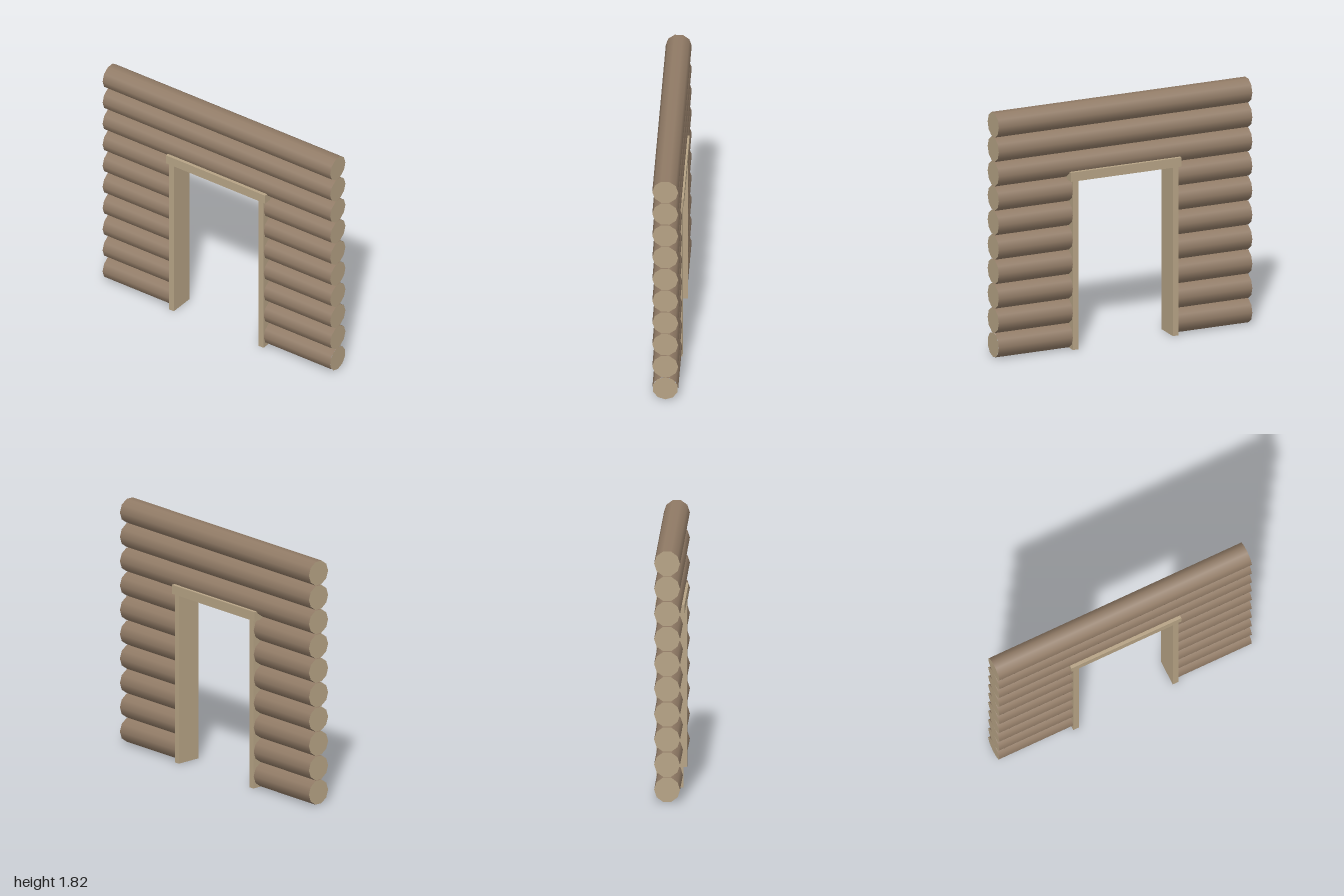
import * as THREE from 'three';

const R = 0.0925, STEP = 0.182, SIDES = 10, FACET = Math.PI * 2 / SIDES;
const bark = new THREE.MeshStandardMaterial({ color: 0x917b66 });
const wood = new THREE.MeshStandardMaterial({ color: 0xb5a284 });

// A ten-sided log from x0 to x1; its lowest facets are shaded apart from the rest
function makeLog(name, x0, x1, y, lowFacets, phase = 0) {
  const log = new THREE.Group();
  log.name = name;
  const length = x1 - x0;
  const add = (geometry, material, part) => {
    const mesh = new THREE.Mesh(geometry, material);
    mesh.name = part;
    log.add(mesh);
    return mesh;
  };
  const start = Math.PI * 1.5 - lowFacets * FACET / 2 + phase;
  const arc = (from, count, part) => add(
    new THREE.CylinderGeometry(R, R, length, count, 1, true, from, count * FACET)
      .rotateZ(Math.PI / 2), bark, part);
  if (lowFacets) arc(start, lowFacets, 'barkUnderside');
  arc(start + lowFacets * FACET, SIDES - lowFacets, 'bark');

  // Sawn ends
  for (const side of [-1, 1]) {
    const end = add(new THREE.CircleGeometry(R, SIDES, phase), wood, 'sawnEnd');
    end.rotation.y = side * Math.PI / 2;
    end.position.x = side * length / 2;
  }
  log.position.set((x0 + x1) / 2, y, 0);
  return log;
}

function makeBoard(name, w, h, d, x, y) {
  const board = new THREE.Mesh(new THREE.BoxGeometry(w, h, d), wood);
  board.name = name;
  board.position.set(x, y, 0);
  return board;
}

export function createModel() {
  const model = new THREE.Group();
  model.name = 'logWallWithDoorway';

  // Seven short logs on each side of the doorway, three full logs above
  for (let i = 0; i < 10; i++) {
    const y = STEP * (i + 0.5);
    if (i < 7) {
      model.add(makeLog('rightLog', -1, -0.41, y, 5));
      model.add(makeLog('leftLog', 0.41, 1, y, i ? 5 : 0, i ? 0 : FACET / 2));
    } else {
      model.add(makeLog('topLog', -1, 1, y, 3));
    }
  }

  // Door frame
  for (const side of [-1, 1]) {
    model.add(makeBoard(side < 0 ? 'rightDoorPost' : 'leftDoorPost',
      0.044, 1.257, 0.19, side * 0.394, 0.6285));
  }
  model.add(makeBoard('lintel', 0.872, 0.068, 0.208, 0, 1.291));
  return model;
}
